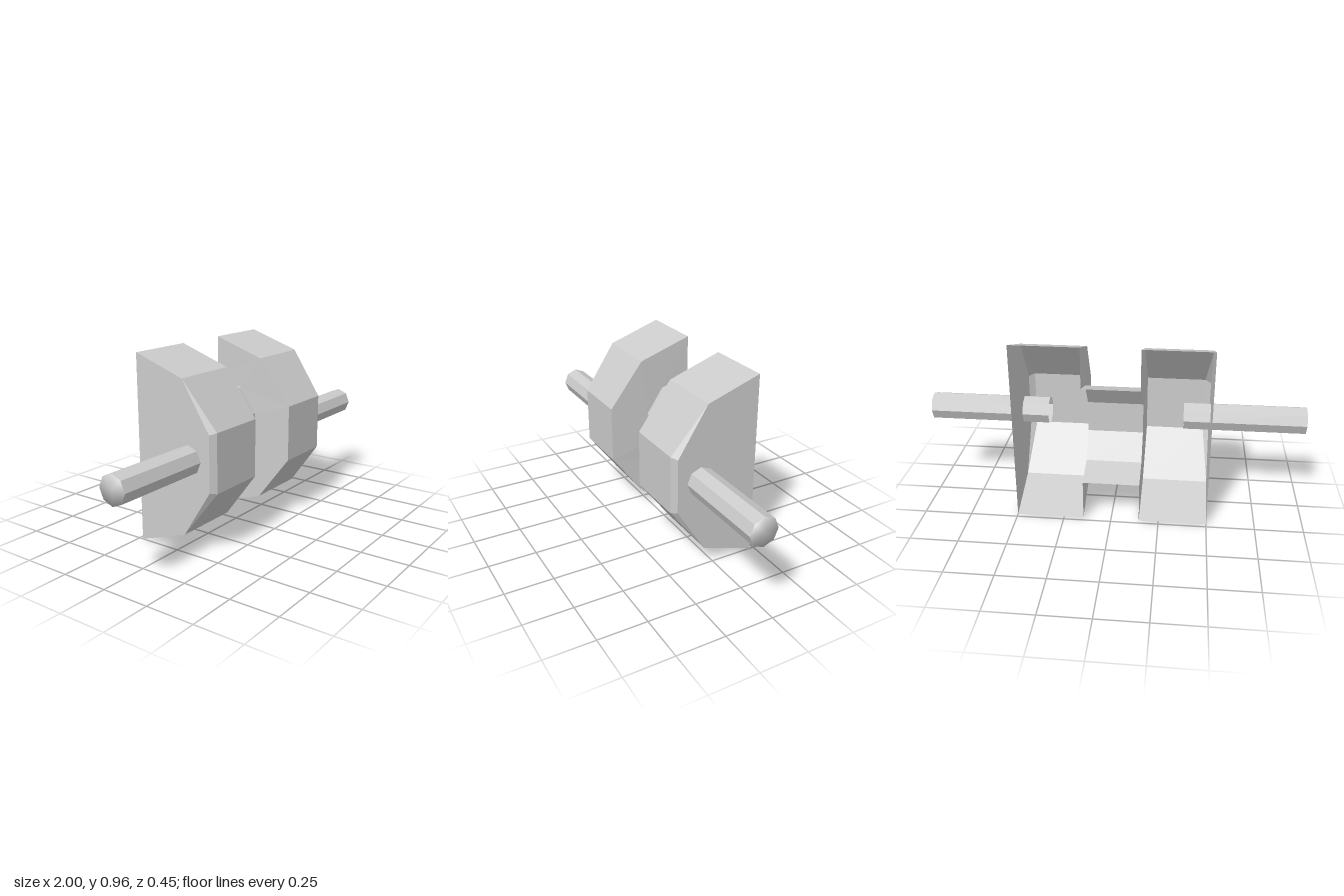
import * as THREE from 'three';

const MID = 0.48;      // height of the horizontal symmetry plane
const BACK = -0.227;   // open back plane

const material = new THREE.MeshStandardMaterial({
  color: 0xcccccc, flatShading: true, side: THREE.DoubleSide,
});
const capMaterial = new THREE.MeshStandardMaterial({ color: 0xcccccc, side: THREE.DoubleSide });

// Cross-section running top to bottom: three [x, half height, z] points, mirrored about MID
function section(points) {
  const top = points.map(([x, h, z]) => new THREE.Vector3(x, MID + h, z));
  const bottom = points.map(([x, h, z]) => new THREE.Vector3(x, MID - h, z)).reverse();
  return [...top, ...bottom];
}

// Skin between successive cross-sections
function loft(name, sections) {
  const pos = [];
  for (let s = 0; s < sections.length - 1; s++) {
    const a = sections[s], b = sections[s + 1];
    for (let i = 0; i < a.length - 1; i++) {
      for (const p of [a[i], b[i], a[i + 1], a[i + 1], b[i], b[i + 1]]) pos.push(p.x, p.y, p.z);
    }
  }
  const geometry = new THREE.BufferGeometry();
  geometry.setAttribute('position', new THREE.Float32BufferAttribute(pos, 3));
  geometry.computeVertexNormals();
  const mesh = new THREE.Mesh(geometry, material);
  mesh.name = name;
  return mesh;
}

const mirrorX = (sections) =>
  sections.map((s) => s.map((p) => new THREE.Vector3(-p.x, p.y, p.z))).reverse();

// Middle band profile at a given x
const bandSection = (x) => section([[x, 0.265, BACK], [x, 0.217, -0.07], [x, 0.083, 0.02]]);

export function createModel() {
  const group = new THREE.Group();

  // Hollow side block: outer wall, chamfered front edge, rim, inner wall with cutout
  const block = [
    section([[0.5, 0.48, BACK], [0.5, 0.386, BACK], [0.5, 0.14, BACK]]),
    section([[0.5, 0.48, BACK], [0.5, 0.386, 0.05], [0.5, 0.14, 0.205]]),
    section([[0.5, 0.48, BACK], [0.5, 0.386, 0.05], [0.47, 0.148, 0.228]]),
    section([[0.147, 0.48, BACK], [0.15, 0.386, 0.05], [0.157, 0.148, 0.228]]),
    bandSection(0.147),
  ];
  group.add(loft('leftBlock', block), loft('rightBlock', mirrorX(block)));

  // Recessed band joining the blocks
  group.add(loft('middleBand', [bandSection(0.147), bandSection(-0.147)]));

  // Axle stubs: open inside the blocks, capped at the outer end
  const radius = 0.074, inner = 0.36, length = 1 - inner;
  for (const side of [1, -1]) {
    const axle = new THREE.Group();
    axle.name = side > 0 ? 'leftAxle' : 'rightAxle';
    const rod = new THREE.Mesh(
      new THREE.CylinderGeometry(radius, radius, length, 8, 1, true), material);
    rod.name = 'axleRod';
    rod.rotation.z = -Math.PI / 2;
    rod.position.x = inner + length / 2;

    // Cap normals lean outwards for a softly rounded look
    const disc = new THREE.CircleGeometry(radius, 8);
    const p = disc.attributes.position, n = disc.attributes.normal;
    const v = new THREE.Vector3();
    for (let i = 0; i < p.count; i++) {
      v.set(p.getX(i) / radius, p.getY(i) / radius, 0.7).normalize();
      n.setXYZ(i, v.x, v.y, v.z);
    }
    const cap = new THREE.Mesh(disc, capMaterial);
    cap.name = 'axleCap';
    cap.rotation.y = Math.PI / 2;
    cap.position.x = 1;

    axle.add(rod, cap);
    axle.position.set(0, MID, 0.08);
    axle.scale.x = side;
    group.add(axle);
  }
  return group;
}
